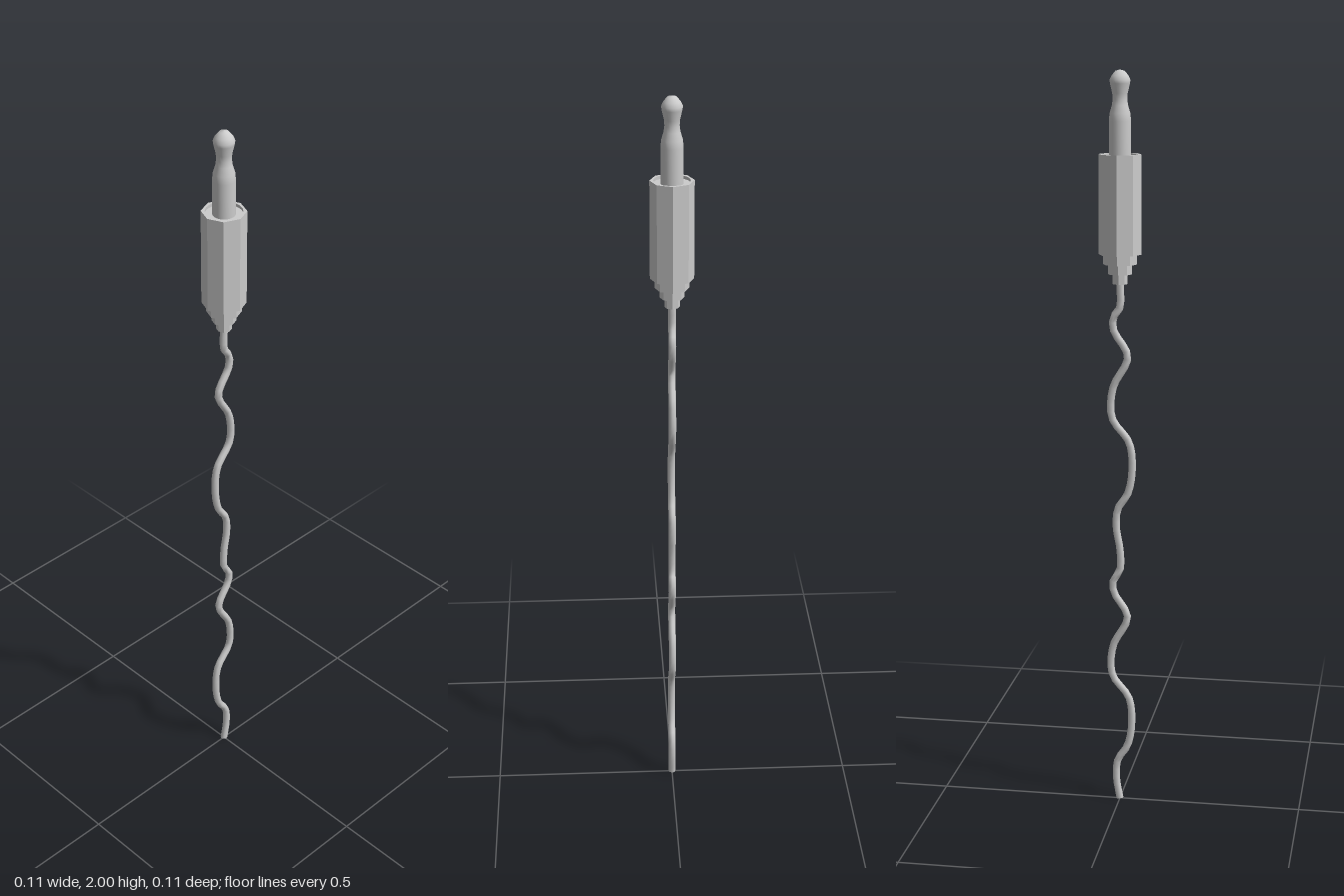
import * as THREE from 'three';

const grey = new THREE.MeshStandardMaterial({ color: 0xcccccc });
const faceted = new THREE.MeshStandardMaterial({ color: 0xcccccc, flatShading: true });
const open = new THREE.MeshStandardMaterial({ color: 0xcccccc, side: THREE.DoubleSide });

export function createModel() {
  const model = new THREE.Group();
  model.name = 'audioPlug';
  const add = (name, geometry, material, y = 0) => {
    const mesh = new THREE.Mesh(geometry, material);
    mesh.name = name;
    mesh.position.y = y;
    model.add(mesh);
    return mesh;
  };

  // Octagonal grip with a shallow round recess in its top
  const bottom = 1.525, top = 1.785, recess = 0.008;
  const outline = new THREE.Shape();
  for (let i = 0; i < 8; i++) {
    const a = (i * Math.PI) / 4;
    const x = 0.057 * Math.cos(a), y = 0.057 * Math.sin(a);
    if (i) outline.lineTo(x, y); else outline.moveTo(x, y);
  }
  outline.closePath();
  const rim = outline.clone();
  rim.holes.push(new THREE.Path().absarc(0, 0, 0.047, 0, Math.PI * 2, true));
  const prism = (shape, depth) => new THREE.ExtrudeGeometry(shape, {
    depth, bevelEnabled: false, curveSegments: 24,
  }).rotateX(-Math.PI / 2);
  add('grip', prism(outline, top - bottom - recess), faceted, bottom);
  add('gripRim', prism(rim, recess), faceted, top - recess);

  // Stepped octagonal strain relief
  [0.045, 0.032, 0.02].forEach((r, i) => {
    add(`strainRelief${i + 1}`, new THREE.CylinderGeometry(r, r, 0.026, 8), faceted, 1.512 - i * 0.026);
  });

  // Contact pin with a narrow neck and rounded tip
  const pin = [
    [0.029, 1.775], [0.029, 1.87], [0.027, 1.89], [0.021, 1.91], [0.019, 1.925],
    [0.02, 1.94], [0.026, 1.965], [0.027, 1.974], [0.022, 1.985], [0.012, 1.997], [0, 2],
  ].map(([r, y]) => new THREE.Vector2(r, y));
  add('contactPin', new THREE.LatheGeometry(pin, 24), grey);

  // Wavy cable: one wave pattern (drop, z) used twice
  const wave = [
    [0, 0], [0.06, 0], [0.088, -0.018], [0.122, -0.017], [0.192, 0.021],
    [0.277, -0.019], [0.36, -0.021], [0.425, 0.025], [0.502, 0.033],
    [0.567, 0.021], [0.61, -0.006], [0.662, -0.01],
  ];
  const path = [];
  for (let k = 0; k < 2; k++) {
    for (const [drop, z] of wave) path.push(new THREE.Vector3(0, 1.445 - 0.7225 * k - drop, z));
  }
  path.push(new THREE.Vector3(0, 0, 0));
  path.unshift(new THREE.Vector3(0, 1.47, 0));
  const curve = new THREE.CatmullRomCurve3(path, false, 'centripetal');
  add('cable', new THREE.TubeGeometry(curve, 72, 0.01, 8), open);
  add('cableEnd', new THREE.CircleGeometry(0.01, 8).rotateX(Math.PI / 2), open, 0.001);

  return model;
}
